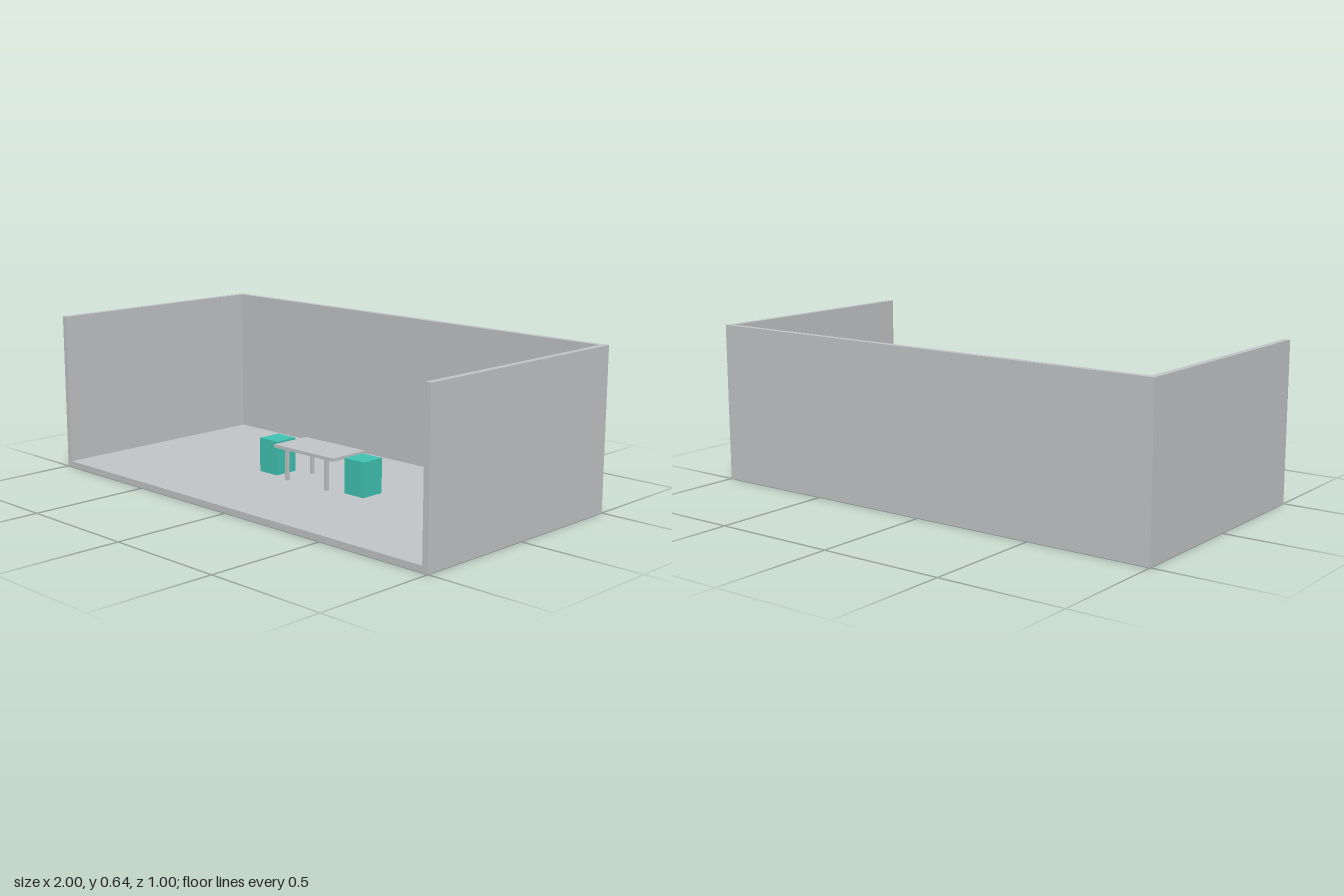
import * as THREE from 'three';

export function createModel() {
  const group = new THREE.Group();
  group.name = 'room';

  const grey = new THREE.MeshStandardMaterial({ color: 0xc3c6c8 });
  grey.name = 'light grey';
  const teal = new THREE.MeshStandardMaterial({ color: 0x41c4b4 });
  teal.name = 'teal';

  // Box given by its lower and upper limits on each axis
  function box(name, material, [x0, x1], [y0, y1], [z0, z1], parent = group) {
    const mesh = new THREE.Mesh(new THREE.BoxGeometry(x1 - x0, y1 - y0, z1 - z0), material);
    mesh.position.set((x0 + x1) / 2, (y0 + y1) / 2, (z0 + z1) / 2);
    mesh.name = name;
    parent.add(mesh);
  }

  // Open room: floor, back wall and two side walls
  const T = 0.025, H = 0.64, floorY = 0.025;
  box('floor', grey, [-1, 1], [0, floorY], [-0.5, 0.5]);
  box('backWall', grey, [-1 + T, 1 - T], [floorY, H], [-0.5, -0.5 + T]);
  box('rightWall', grey, [-1, -1 + T], [floorY, H], [-0.5, 0.5]);
  box('leftWall', grey, [1 - T, 1], [floorY, H], [-0.5, 0.5]);

  // Table, centred slightly off the origin
  const cx = -0.0025, cz = -0.003, topY = 0.166, underY = 0.153;
  const table = new THREE.Group();
  table.name = 'table';
  group.add(table);
  box('tableTop', grey, [cx - 0.165, cx + 0.165], [underY, topY], [cz - 0.09, cz + 0.09], table);
  const r = 0.0065;
  for (const sx of [-1, 1]) {
    for (const sz of [-1, 1]) {
      const x = cx + sx * 0.11, z = cz + sz * 0.07;
      box('tableLeg', grey, [x - r, x + r], [floorY, underY], [z - r, z + r], table);
    }
  }

  // A block stool at each end of the table
  for (const [name, s] of [['rightStool', -1], ['leftStool', 1]]) {
    const x = cx + s * 0.24;
    box(name, teal, [x - 0.05, x + 0.05], [floorY, topY], [cz - 0.052, cz + 0.052]);
  }

  return group;
}
